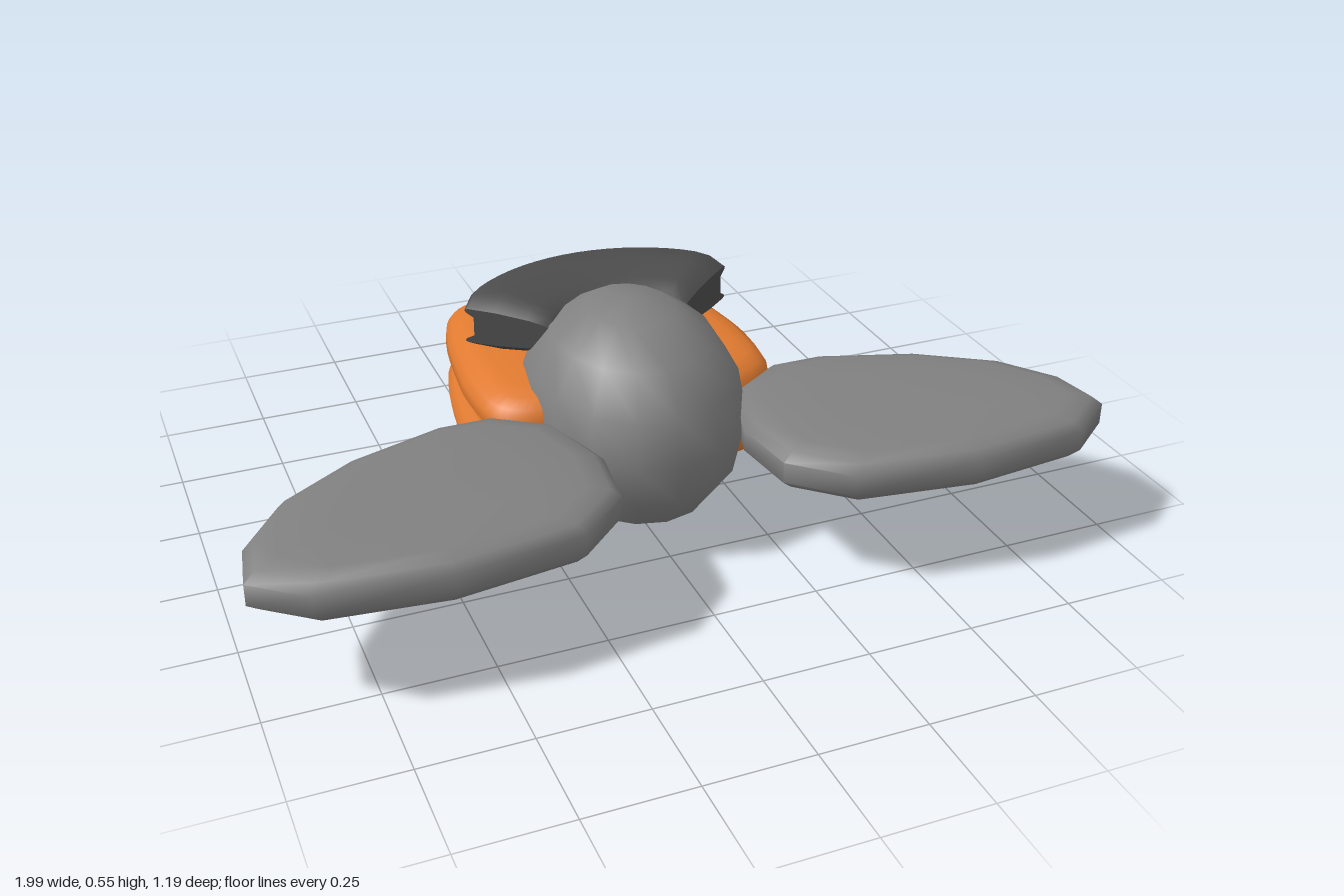
import * as THREE from 'three';
import { toCreasedNormals } from 'three/addons/utils/BufferGeometryUtils.js';

const paint = (color) => new THREE.MeshStandardMaterial({ color, roughness: 0.8 });

// Skin a list of equal-length rings of [x, y, z] points and close both ends.
function loft(rings, crease = 1) {
  const n = rings[0].length;
  const pos = rings.flat(2);
  const index = [];
  for (let i = 0; i < rings.length - 1; i++) {
    for (let j = 0; j < n; j++) {
      const k = (j + 1) % n;
      const a = i * n + j, b = i * n + k, c = b + n, d = a + n;
      index.push(a, b, c, a, c, d);
    }
  }
  const cap = (r, flip) => {
    const centre = pos.length / 3;
    for (let axis = 0; axis < 3; axis++) pos.push(rings[r].reduce((s, p) => s + p[axis], 0) / n);
    for (let j = 0; j < n; j++) {
      const a = r * n + j, b = r * n + ((j + 1) % n);
      index.push(centre, ...(flip ? [b, a] : [a, b]));
    }
  };
  cap(0, true);
  cap(rings.length - 1, false);
  const geo = new THREE.BufferGeometry();
  geo.setAttribute('position', new THREE.Float32BufferAttribute(pos, 3));
  geo.setIndex(index);
  return toCreasedNormals(geo, crease);
}

// Flat leaf-shaped wing with rounded rim; side is +1 or -1
function wingGeometry(side) {
  let outline = [[0.995, 0.46], [0.975, 0.34], [0.88, 0.21], [0.7, 0.095], [0.47, 0.02], [0.34, 0.02],
    [0.22, 0.1], [0.17, 0.27], [0.19, 0.43], [0.31, 0.54], [0.6, 0.58], [0.88, 0.55]];
  if (side < 0) outline = outline.map(([x, z]) => [-x, z]).reverse();
  const levels = [[-0.06, 0.5], [-0.055, 0.82], [-0.045, 0.94], [-0.025, 1],
    [0.025, 1], [0.045, 0.94], [0.055, 0.82], [0.06, 0.5]];
  const cx = side * 0.58, cz = 0.3;
  return loft(levels.map(([y, s]) =>
    outline.map(([x, z]) => [cx + (x - cx) * s, 0.285 + y, cz + (z - cz) * s])));
}

// Rounded two-lobed slab with a groove around the sides and back
function slabGeometry() {
  const half = [[0.2, 0.08], [0.29, 0.07], [0.345, 0.03], [0.365, -0.1], [0.355, -0.25],
    [0.325, -0.43], [0.28, -0.545], [0.2, -0.59]];
  const points = [...half, ...half.map(([x, z]) => [-x, z]).reverse()]
    .map(([x, z]) => new THREE.Vector3(x, 0, z));
  const outline = new THREE.CatmullRomCurve3(points, true).getPoints(56).slice(0, -1);
  // Height from the middle, and how far the edge is drawn in
  const upper = [[0.02, 0.035], [0.04, 0.016], [0.065, 0], [0.09, 0.003], [0.112, 0.016],
    [0.128, 0.04], [0.136, 0.075], [0.138, 0.14]];
  const levels = [...upper.map(([y, d]) => [-y, d]).reverse(), [0, 0.045], ...upper];
  return loft(levels.map(([y, inset]) => outline.map((p) => {
    const frontGroove = p.z > 0 && Math.abs(y) < 0.05;
    const x = p.x * (1 - inset / 0.365);
    const z = -0.255 + (p.z + 0.255) * (frontGroove ? 1 : 1 - inset / 0.335);
    const flatten = 1 - 0.16 * ((z + 0.12) / 0.45) ** 2;
    return [x, 0.233 + y * flatten, z];
  })), 1.2);
}

// Sweep a [radius, height] profile along the arc, tapering at both ends
function arcGeometry(profile, reach) {
  const rings = [];
  const steps = 20;
  for (let i = 0; i <= steps; i++) {
    const u = -1 + (2 * i) / steps;
    const t = u * reach;
    const s = 1 - 0.4 * Math.abs(u) ** 14;
    rings.push(profile.map(([r, y]) => [r * Math.sin(t), 0.447 + y * s, 0.07 - r * Math.cos(t)]));
  }
  return loft(rings, 0.9);
}

export function createModel() {
  const group = new THREE.Group();
  const add = (name, geometry, material) => {
    const mesh = new THREE.Mesh(geometry, material);
    mesh.name = name;
    group.add(mesh);
    return mesh;
  };
  const grey = paint(0x808080);

  // Round body
  const body = add('body', new THREE.SphereGeometry(1, 16, 8), grey);
  body.scale.set(0.262, 0.277, 0.322);
  body.position.y = 0.278;

  // Wings
  add('leftWing', wingGeometry(1), grey);
  add('rightWing', wingGeometry(-1), grey);

  // Slab behind the body
  add('rearSlab', slabGeometry(), paint(0xe07a30));

  // Curved visor with a recessed red strip facing back
  const top = [[0.415, 0.038], [0.434, 0.056], [0.438, 0.066], [0.43, 0.072], [0.36, 0.071],
    [0.28, 0.06], [0.235, 0.047], [0.212, 0.025]];
  const shell = [...top, ...top.map(([r, y]) => [r, -y]).reverse()];
  add('visor', arcGeometry(shell, 0.87), paint(0x4c4c4c));
  const strip = [[0.418, 0.039], [0.38, 0.039], [0.38, -0.039], [0.418, -0.039]];
  add('visorStrip', arcGeometry(strip, 0.84), paint(0xe01022));

  return group;
}
